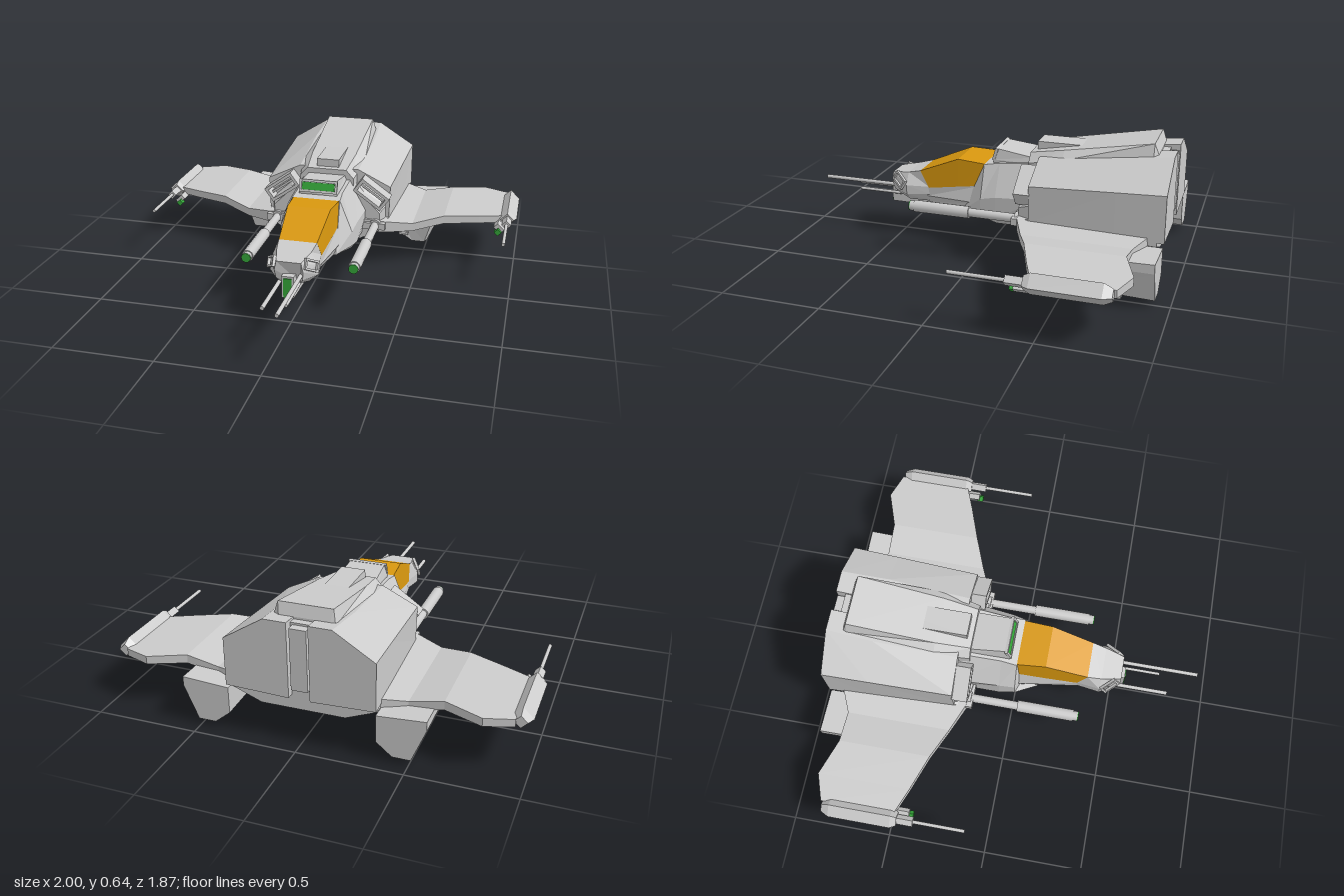
import * as THREE from 'three';

const flat = (color) => new THREE.MeshStandardMaterial({ color, flatShading: true, side: THREE.DoubleSide });
const GREY = flat(0xcccccc), AMBER = flat(0xd9980f), GREEN = flat(0x35a83a);
const ROUND = new THREE.MeshStandardMaterial({ color: 0xcccccc });

export function createModel() {
  const root = new THREE.Group();

  const add = (name, geo, mat = GREY, pos = [0, 0, 0], rot = [0, 0, 0]) => {
    const m = new THREE.Mesh(geo, mat);
    m.name = name;
    m.position.set(...pos);
    m.rotation.set(...rot);
    root.add(m);
    return m;
  };

  // Skin a list of convex rings of [x, y, z]; caps both ends and faces outward
  const loft = (name, rings, mat) => {
    const n = rings[0].length, tris = [];
    for (let r = 0; r + 1 < rings.length; r++) {
      for (let i = 0; i < n; i++) {
        const j = (i + 1) % n, A = rings[r], B = rings[r + 1];
        tris.push([A[i], B[i], B[j]], [A[i], B[j], A[j]]);
      }
    }
    const F = rings[0], L = rings[rings.length - 1];
    for (let i = 1; i + 1 < n; i++) tris.push([F[0], F[i], F[i + 1]], [L[0], L[i + 1], L[i]]);
    const v = (p) => new THREE.Vector3(...p);
    const vol = tris.reduce((s, [a, b, c]) => s + v(a).dot(v(b).cross(v(c))), 0);
    const out = tris.flatMap(([a, b, c]) => (vol > 0 ? [a, b, c] : [a, c, b]).flat());
    const geo = new THREE.BufferGeometry();
    geo.setAttribute('position', new THREE.Float32BufferAttribute(out, 3));
    geo.computeVertexNormals();
    return add(name, geo, mat);
  };

  // Ring at depth z from one half outline, mirrored in x; a third value overrides z
  const sym = (z, half) => [
    ...half.map(([x, y, d = z]) => [x, y, d]),
    ...half.slice().reverse().map(([x, y, d = z]) => [-x, y, d]),
  ];
  const box = (name, w, h, d, pos, mat, rot) => add(name, new THREE.BoxGeometry(w, h, d), mat, pos, rot);
  // Round bar along z between two depths
  const rod = (name, r, z0, z1, x, y, mat = ROUND) =>
    add(name, new THREE.CylinderGeometry(r, r, z1 - z0, 14), mat, [x, y, (z0 + z1) / 2], [Math.PI / 2, 0, 0]);
  // Rectangular rim with an opening, facing +z before rotation
  const frame = (name, w, h, t, depth, pos, rot) => {
    const rect = (P, a, b) => new P([[-a, -b], [a, -b], [a, b], [-a, b]].map((p) => new THREE.Vector2(...p)));
    const s = rect(THREE.Shape, w / 2, h / 2);
    s.holes.push(rect(THREE.Path, w / 2 - t, h / 2 - t));
    return add(name, new THREE.ExtrudeGeometry(s, { depth, bevelEnabled: false }), GREY, pos, rot);
  };

  // Nose, cockpit and neck
  loft('nose', [
    sym(0.37, [[0.07, 0.2, 0.3], [0.105, 0.25, 0.31], [0.105, 0.29, 0.32], [0.095, 0.37]]),
    sym(0.44, [[0.075, 0.2], [0.12, 0.24], [0.12, 0.29], [0.085, 0.352]]),
    sym(0.54, [[0.05, 0.22, 0.51], [0.065, 0.245, 0.53], [0.07, 0.29], [0.06, 0.335]]),
  ]);
  loft('cockpitBody', [
    sym(0.33, [[0.08, 0.2], [0.105, 0.24], [0.105, 0.285]]),
    sym(0, [[0.14, 0.2], [0.155, 0.25], [0.13, 0.345]]),
  ]);
  loft('canopy', [
    sym(0.37, [[0.106, 0.285, 0.32], [0.095, 0.37]]),
    sym(0.155, [[0.12, 0.315], [0.11, 0.46]]),
    sym(0.01, [[0.13, 0.34], [0.12, 0.452]]),
  ], AMBER);
  loft('neck', [
    sym(0.01, [[0.13, 0.2, 0.12], [0.19, 0.21], [0.19, 0.29], [0.125, 0.452]]),
    sym(-0.07, [[0.17, 0.163], [0.2, 0.2], [0.2, 0.31], [0.12, 0.465]]),
    sym(-0.3, [[0.17, 0.163], [0.2, 0.2], [0.22, 0.33], [0.13, 0.49]]),
  ]);
  loft('chinGunHousing', [
    sym(0.56, [[0.03, 0.16], [0.03, 0.27]]),
    sym(0.36, [[0.035, 0.16], [0.035, 0.27]]),
    sym(0.25, [[0.035, 0.2], [0.035, 0.27]]),
  ]);
  box('chinLight', 0.04, 0.1, 0.01, [0, 0.21, 0.56], GREEN);
  rod('longNoseGun', 0.01, 0.45, 0.93, 0.055, 0.265);
  rod('shortNoseGun', 0.01, 0.45, 0.79, -0.055, 0.215);
  rod('lowerNoseGun', 0.008, 0.45, 0.74, 0.043, 0.215);

  // Sensor housing behind the canopy
  loft('sensorHousing', [
    sym(-0.05, [[0.1, 0.46, -0.03], [0.1, 0.475, -0.03], [0.09, 0.53]]),
    sym(-0.24, [[0.11, 0.46], [0.11, 0.475], [0.1, 0.505]]),
  ]);
  frame('sensorRim', 0.2, 0.065, 0.012, 0.015, [0, 0.5, -0.046], [-0.3, 0, 0]);
  box('sensorWindow', 0.17, 0.04, 0.012, [0, 0.5, -0.04], GREEN, [-0.3, 0, 0]);

  // Dorsal spine, hull core and belly
  loft('dorsalSpine', [
    sym(-0.225, [[0.145, 0.45], [0.145, 0.49], [0.105, 0.535]]),
    sym(-0.4, [[0.17, 0.46], [0.17, 0.53], [0.12, 0.567]]),
    sym(-0.835, [[0.15, 0.5], [0.15, 0.585], [0.13, 0.645]]),
    sym(-0.855, [[0.145, 0.5], [0.145, 0.58], [0.12, 0.59]]),
  ]);
  box('hullCore', 0.12, 0.38, 0.64, [0, 0.39, -0.57]);
  box('tailVent', 0.08, 0.3, 0.06, [0, 0.42, -0.9]);
  loft('belly', [
    sym(-0.2, [[0.19, 0.165], [0.28, 0.21], [0.3, 0.25]]),
    sym(-0.28, [[0.2, 0.16], [0.33, 0.23], [0.33, 0.27]]),
    sym(-0.9, [[0.2, 0.16], [0.35, 0.22], [0.35, 0.26]]),
  ]);
  box('bellyKeel', 0.07, 0.03, 0.42, [0, 0.152, -0.45]);

  for (const s of [1, -1]) {
    const ring = (z, pts) => pts.map(([x, y, d = z]) => [s * x, y, d]);
    const tag = s > 0 ? 'left' : 'right';

    // Nose cheek vent
    frame(tag + 'NoseVent', 0.09, 0.055, 0.01, 0.015, [s * 0.092, 0.305, 0.485], [-0.55, s * 1.0, 0]);

    // Hull half, split along the centre line at the tail
    loft(tag + 'Hull', [
      ring(-0.28, [[0.05, 0.24], [0.33, 0.255], [0.335, 0.44], [0.16, 0.525], [0.05, 0.525]]),
      ring(-0.7, [[0.05, 0.235], [0.347, 0.247], [0.348, 0.463], [0.17, 0.572], [0.05, 0.572]]),
      ring(-0.935, [[0.05, 0.23], [0.355, 0.24], [0.355, 0.475], [0.16, 0.598], [0.05, 0.598]]),
    ]);
    loft(tag + 'Shoulder', [
      ring(-0.22, [[0.15, 0.22], [0.29, 0.24], [0.29, 0.31], [0.2, 0.4], [0.15, 0.42]]),
      ring(-0.3, [[0.15, 0.22], [0.32, 0.24], [0.32, 0.34], [0.2, 0.45], [0.15, 0.46]]),
    ]);

    // Air intake
    frame(tag + 'Intake', 0.18, 0.085, 0.016, 0.08, [s * 0.245, 0.415, -0.285], [0, 0, -s * 0.62]);
    box(tag + 'IntakeVane', 0.16, 0.012, 0.05, [s * 0.245, 0.415, -0.265], GREY, [0, 0, -s * 0.62]);

    // Gull wing: x, front z, back z, bottom y, top y
    loft(tag + 'Wing', [
      [0.19, -0.2, -0.87, 0.21, 0.28], [0.32, -0.22, -0.87, 0.205, 0.265],
      [0.46, -0.28, -0.81, 0.202, 0.245], [0.62, -0.345, -0.81, 0.235, 0.278],
      [0.8, -0.41, -0.875, 0.23, 0.27], [0.93, -0.462, -0.83, 0.228, 0.265],
    ].map(([x, f, b, lo, hi]) => [[s * x, lo, f], [s * x, hi, f], [s * x, hi, b], [s * x, lo, b]]));

    // Wing tip pod and guns
    const diamond = (z, r) => ring(z, [[0.95, 0.25 - r], [0.95 + r, 0.25], [0.95, 0.25 + r], [0.95 - r, 0.25]]);
    loft(tag + 'WingTip', [diamond(-0.44, 0.035), diamond(-0.47, 0.05), diamond(-0.78, 0.05), diamond(-0.82, 0.03)]);
    box(tag + 'TipGunSleeve', 0.035, 0.035, 0.1, [s * 0.95, 0.25, -0.41], GREY, [0, 0, Math.PI / 4]);
    rod(tag + 'TipGun', 0.009, -0.45, -0.1, s * 0.95, 0.25);
    box(tag + 'TipLampMount', 0.03, 0.05, 0.08, [s * 0.912, 0.215, -0.43], GREY, [0, 0, s * Math.PI / 4]);
    box(tag + 'TipLamp', 0.028, 0.028, 0.03, [s * 0.908, 0.2, -0.385], GREEN, [0, 0, Math.PI / 4]);

    // Shoulder cannon
    rod(tag + 'CannonBase', 0.033, -0.28, -0.2, s * 0.27, 0.245);
    rod(tag + 'CannonNeck', 0.022, -0.22, 0.05, s * 0.27, 0.245);
    rod(tag + 'CannonBarrel', 0.03, 0.04, 0.33, s * 0.27, 0.245);
    rod(tag + 'CannonMuzzle', 0.025, 0.32, 0.352, s * 0.27, 0.245);
    rod(tag + 'CannonLight', 0.024, 0.35, 0.357, s * 0.27, 0.245, GREEN);
    box(tag + 'CannonMount', 0.17, 0.035, 0.06, [s * 0.24, 0.245, -0.22]);

    // Under-wing pod with vent and landing foot
    loft(tag + 'Pod', [
      ring(-0.49, [[0.355, 0.22], [0.355, 0.105], [0.43, 0.045, -0.51], [0.5, 0.045, -0.51], [0.54, 0.18], [0.54, 0.22]]),
      ring(-0.56, [[0.35, 0.22], [0.35, 0.1], [0.425, 0.04], [0.51, 0.04], [0.575, 0.19], [0.575, 0.225]]),
      ring(-0.93, [[0.35, 0.22], [0.35, 0.09], [0.425, 0.028], [0.51, 0.028], [0.578, 0.19], [0.578, 0.235]]),
    ]);
    frame(tag + 'PodVent', 0.05, 0.11, 0.011, 0.02, [s * 0.385, 0.145, -0.495]);
    box(tag + 'Foot', 0.055, 0.04, 0.11, [s * 0.458, 0.02, -0.715]);
  }
  return root;
}
